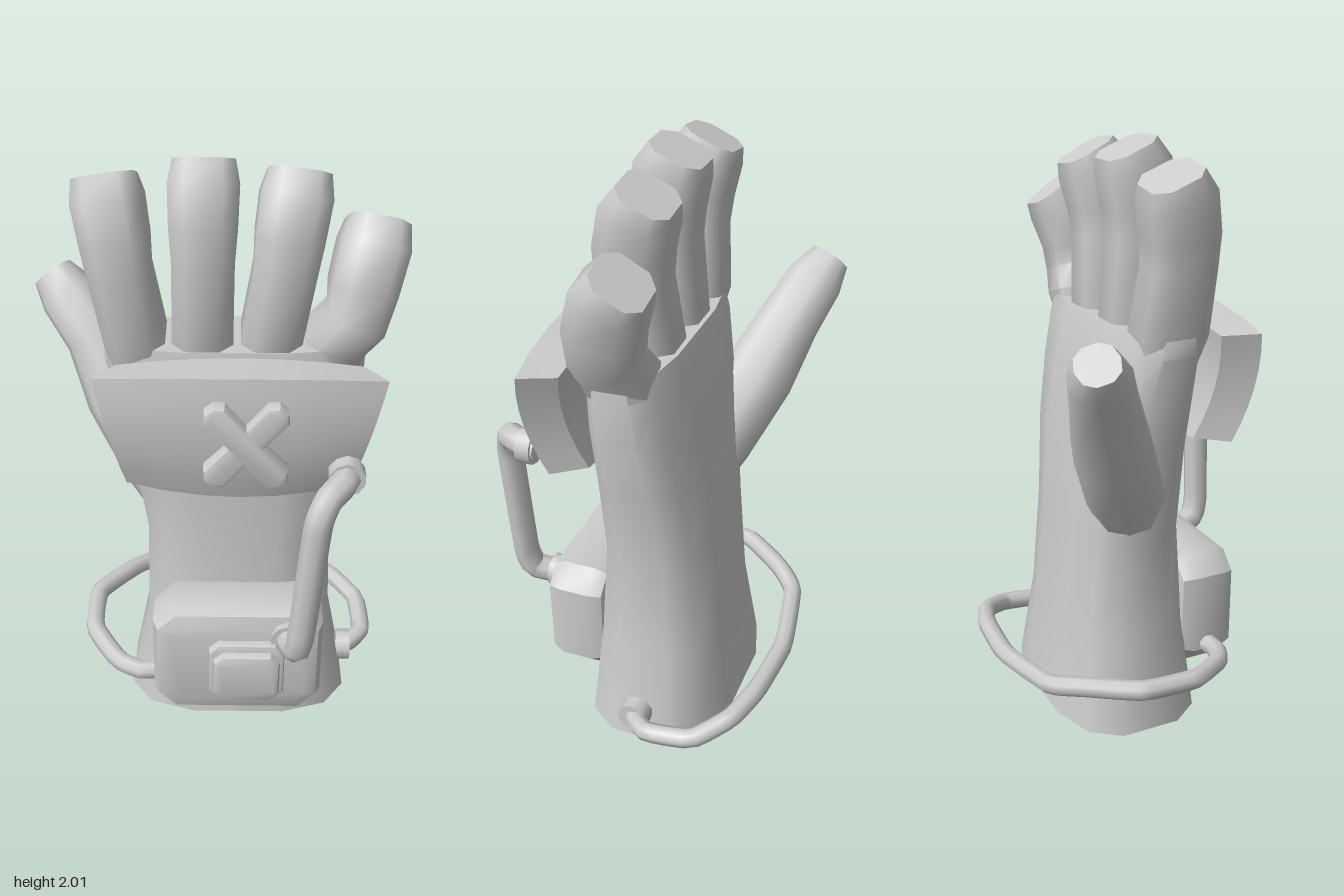
import * as THREE from 'three';
import { toCreasedNormals } from 'three/addons/utils/BufferGeometryUtils.js';

const material = new THREE.MeshStandardMaterial({ color: 0xcccccc });

function add(parent, name, geometry) {
  const mesh = new THREE.Mesh(geometry, material);
  mesh.name = name;
  parent.add(mesh);
  return mesh;
}

// Skin of rounded sections [x, y, z, halfWidth, halfDepth] along a path; upright keeps the rings level
function limb(sections, sides, power, upright = false) {
  const pos = [], index = [];
  const centres = sections.map(s => new THREE.Vector3(s[0], s[1], s[2]));
  const last = sections.length - 1;
  const soft = t => Math.sign(t) * Math.pow(Math.abs(t), 2 / power);
  sections.forEach((s, j) => {
    const t = upright ? new THREE.Vector3(0, 1, 0)
      : centres[Math.min(j + 1, last)].clone().sub(centres[Math.max(j - 1, 0)]).normalize();
    const u = t.clone().cross(new THREE.Vector3(0, 0, 1)).normalize();
    const v = u.clone().cross(t);
    for (let i = 0; i < sides; i++) {
      const f = (i + 0.5) / sides * Math.PI * 2;
      const p = centres[j].clone()
        .addScaledVector(u, soft(Math.cos(f)) * s[3])
        .addScaledVector(v, soft(Math.sin(f)) * s[4]);
      pos.push(p.x, p.y, p.z);
    }
  });
  for (let j = 0; j < last; j++) {
    for (let i = 0; i < sides; i++) {
      const k = (i + 1) % sides;
      const a = j * sides + i, b = a + sides, c = (j + 1) * sides + k, d = j * sides + k;
      index.push(a, b, d, b, c, d);
    }
  }
  const first = pos.length / 3;
  pos.push(...centres[0].toArray(), ...centres[last].toArray());
  for (let i = 0; i < sides; i++) {
    const k = (i + 1) % sides;
    index.push(first, i, k, first + 1, last * sides + k, last * sides + i);
  }
  const g = new THREE.BufferGeometry();
  g.setAttribute('position', new THREE.Float32BufferAttribute(pos, 3));
  g.setIndex(index);
  return toCreasedNormals(g, 0.95);
}

// Slab with cut corners and a bevelled rim, facing +z
function slab(w, h, depth, corner, bevel) {
  const x = w / 2, y = h / 2, c = corner;
  const shape = new THREE.Shape([
    [-x + c, -y], [x - c, -y], [x, -y + c], [x, y - c],
    [x - c, y], [-x + c, y], [-x, y - c], [-x, -y + c],
  ].map(p => new THREE.Vector2(...p)));
  const g = new THREE.ExtrudeGeometry(shape, {
    depth: depth - 2 * bevel, bevelEnabled: true, bevelSegments: 2,
    bevelSize: bevel, bevelThickness: bevel, bevelOffset: -bevel,
  });
  g.translate(0, 0, bevel);
  return toCreasedNormals(g, 0.6);
}

function cable(points, radius, steps) {
  const curve = new THREE.CatmullRomCurve3(
    points.map(p => new THREE.Vector3(...p)), false, 'catmullrom', 0.2);
  return new THREE.TubeGeometry(curve, steps, radius, 8);
}

export function createModel() {
  const root = new THREE.Group();
  root.name = 'gauntlet';

  // Everything is built with the back of the hand on +z, then turned
  const hand = new THREE.Group();
  hand.name = 'hand';
  hand.rotation.y = -0.96;
  root.add(hand);

  // Hollow cuff, forearm and palm in one skin
  add(hand, 'forearmAndPalm', limb([
    [0.1, 0.12, 0.05, 0.24, 0.14],
    [0.1, 0, 0.05, 0.26, 0.15],
    [0.11, 0, 0.045, 0.395, 0.26],
    [0.11, 0.35, 0.05, 0.325, 0.22],
    [0.105, 0.7, 0.05, 0.315, 0.19],
    [0.105, 1.0, 0.065, 0.36, 0.175],
    [0.1, 1.2, 0.085, 0.395, 0.16],
    [0.085, 1.36, 0.1, 0.415, 0.145],
    [0.085, 1.42, 0.105, 0.415, 0.13],
  ], 12, 3, true));

  // Fingers: [name, base x, tip x, tip height, forward curl]
  [
    ['indexFinger', -0.215, -0.305, 1.92, 0.05],
    ['middleFinger', -0.015, -0.01, 1.97, 0.05],
    ['ringFinger', 0.19, 0.27, 1.93, 0.06],
    ['littleFinger', 0.385, 0.515, 1.77, 0.08],
  ].forEach(([name, x0, x1, top, curl]) => {
    const x = t => x0 + (x1 - x0) * t;
    add(hand, name, limb([
      [x(0), 1.3, 0.105, 0.08, 0.09],
      [x(0.1), 1.42, 0.11, 0.1, 0.125],
      [x(0.55), top - 0.28, 0.12, 0.1, 0.115],
      [x(0.68), top - 0.18, 0.115, 0.108, 0.12],
      [x(0.9), top - 0.06, 0.115 - curl * 0.5, 0.112, 0.118],
      [x(1), top, 0.115 - curl, 0.098, 0.095],
    ], 8, 3));
  });

  // Thumb, rooted inside the edge of the palm
  add(hand, 'thumb', limb([
    [-0.08, 0.72, 0.05, 0.1, 0.1],
    [-0.15, 0.88, -0.005, 0.14, 0.135],
    [-0.285, 1.09, -0.115, 0.14, 0.13],
    [-0.385, 1.27, -0.19, 0.105, 0.11],
    [-0.48, 1.39, -0.25, 0.098, 0.1],
    [-0.535, 1.455, -0.285, 0.07, 0.07],
  ], 10, 2.3));

  // Curved guard over the back of the hand, flaring upward and outward
  const plate = new THREE.BoxGeometry(1, 1, 1, 6, 6, 1);
  const p = plate.attributes.position;
  for (let i = 0; i < p.count; i++) {
    const s = p.getX(i) * 2, t = p.getY(i) * 2, outer = p.getZ(i) + 0.5;
    const half = 0.33 + 0.045 * t + 0.065 * outer;
    p.setXYZ(i,
      0.1 + s * half,
      1.215 + 0.185 * t + 0.025 * t * (1 - s * s) + 0.01 * outer * t,
      0.285 + 0.02 * t - 0.03 * t * t + outer * (0.15 - 0.04 * s * s));
  }
  plate.computeVertexNormals();
  add(hand, 'handGuard', plate);

  // Crossed bars on the guard
  for (const side of [-1, 1]) {
    const bar = add(hand, 'crossBar', slab(0.085, 0.34, 0.08, 0.025, 0.015));
    bar.position.set(0.12, 1.225, 0.4 + side * 0.002);
    bar.rotation.z = side * 0.72;
  }

  // Wrist box with its raised button
  add(hand, 'wristBox', slab(0.57, 0.43, 0.23, 0.07, 0.06)).position.set(0.105, 0.345, 0.21);
  add(hand, 'buttonBase', slab(0.25, 0.23, 0.08, 0.03, 0.012)).position.set(0.135, 0.34, 0.39);
  add(hand, 'button', slab(0.22, 0.19, 0.1, 0.03, 0.02)).position.set(0.135, 0.335, 0.4);

  // Cable between guard and wrist box, with sockets
  add(hand, 'guardCable', cable([
    [0.435, 1.1, 0.38], [0.42, 1.1, 0.46], [0.37, 1.08, 0.52], [0.34, 1.0, 0.545],
    [0.305, 0.57, 0.54], [0.295, 0.49, 0.52], [0.275, 0.47, 0.46], [0.27, 0.47, 0.38],
  ], 0.045, 40));
  for (const [x, y, z] of [[0.43, 1.1, 0.42], [0.27, 0.47, 0.43]]) {
    const socket = add(hand, 'cableSocket', new THREE.CylinderGeometry(0.058, 0.058, 0.05, 10));
    socket.rotation.x = Math.PI / 2;
    socket.position.set(x, y, z);
  }

  // Loose cable looping round the wrist, from the cuff to the wrist box
  add(root, 'wristCable', cable([
    [0.2, 0.11, 0.42], [0.25, 0.11, 0.45], [0.34, 0.12, 0.46], [0.47, 0.14, 0.36], [0.5, 0.18, 0.22],
    [0.46, 0.2, 0.08], [0.34, 0.21, -0.13], [0.14, 0.23, -0.33], [0.02, 0.25, -0.36],
    [-0.19, 0.26, -0.365], [-0.35, 0.25, -0.25], [-0.415, 0.23, -0.09],
    [-0.4, 0.22, 0.0], [-0.33, 0.22, 0.08],
  ], 0.034, 56));
  const cuffSocket = add(root, 'cuffSocket', new THREE.CylinderGeometry(0.055, 0.055, 0.05, 10));
  cuffSocket.position.set(0.24, 0.11, 0.44);
  cuffSocket.rotation.set(Math.PI / 2, 0, -0.6);

  return root;
}
